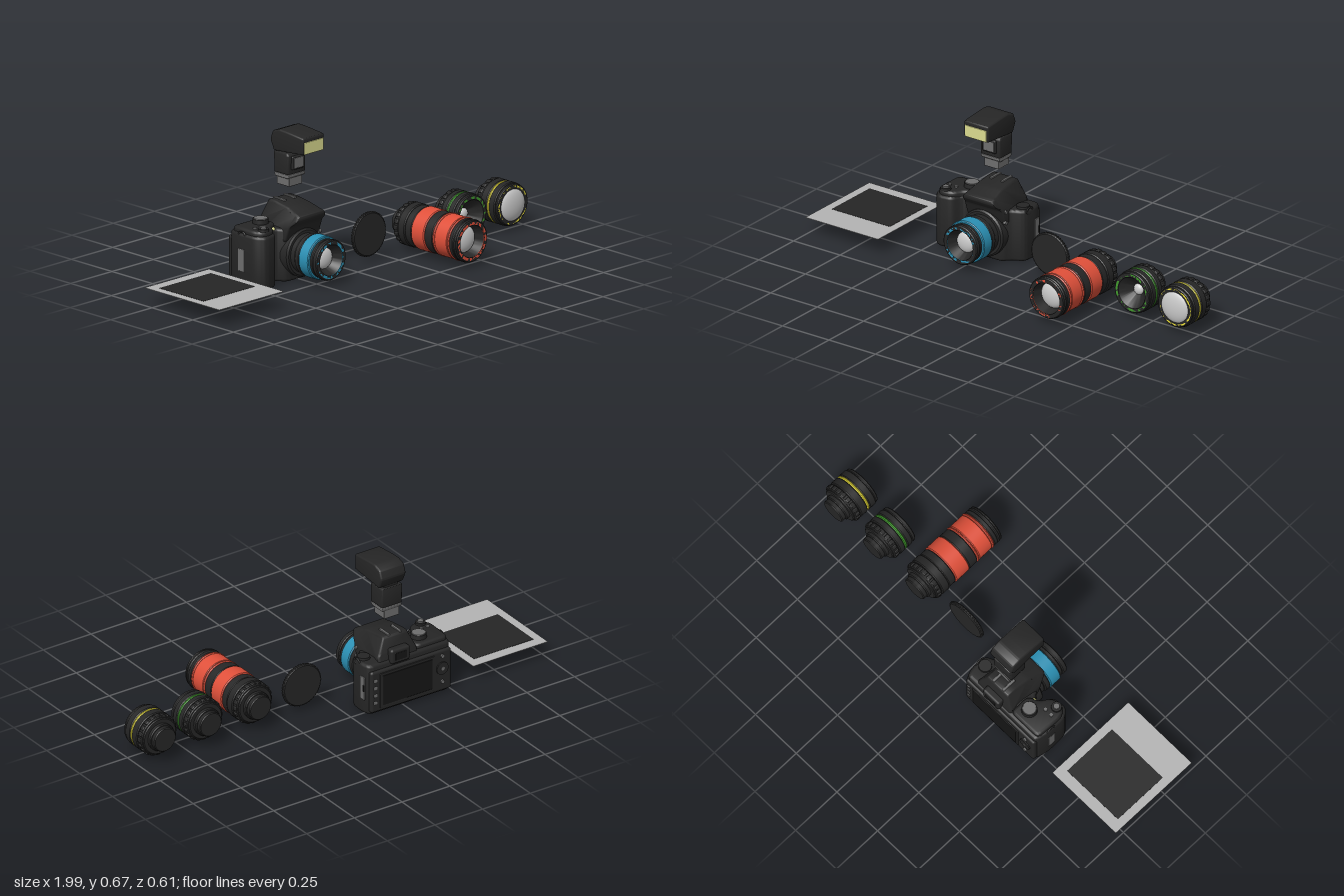
import * as THREE from 'three';
import { toCreasedNormals } from 'three/addons/utils/BufferGeometryUtils.js';
import { RoundedBoxGeometry } from 'three/addons/geometries/RoundedBoxGeometry.js';

const mat = (color) => new THREE.MeshStandardMaterial({ color });
const black = mat(0x262626), dark = mat(0x151515), grey = mat(0x6e6e6e), glass = mat(0xcccccc);
const blue = mat(0x2b90b4), red = mat(0xe0503a), green = mat(0x409a2c), yellow = mat(0xf0e438);
const cream = mat(0xdcdc90), paper = mat(0xb4b4b4);

function add(parent, name, geo, material, x = 0, y = 0, z = 0) {
  const m = new THREE.Mesh(geo, material);
  m.name = name;
  m.position.set(x, y, z);
  parent.add(m);
  return m;
}

function group(parent, name, x = 0, y = 0, z = 0) {
  const g = new THREE.Group();
  g.name = name;
  g.position.set(x, y, z);
  parent.add(g);
  return g;
}

const rbox = (w, h, d, r = 0.008) => new RoundedBoxGeometry(w, h, d, 2, Math.min(r, w / 2.1, h / 2.1, d / 2.1));

// Lathe around the z axis, profile given as [radius, z] from back to front
function turned(pts, seg = 48) {
  const g = new THREE.LatheGeometry(pts.map(([r, z]) => new THREE.Vector2(r, z)), seg);
  return toCreasedNormals(g.rotateX(Math.PI / 2), 0.5);
}

// Polygon with rounded corners
function roundedShape(pts, r) {
  const v = pts.map(([x, y]) => new THREE.Vector2(x, y)), n = v.length, s = new THREE.Shape();
  v.forEach((p, i) => {
    const a = v[(i + n - 1) % n], b = v[(i + 1) % n];
    const toward = (q) => p.clone().lerp(q, Math.min(0.45, r / p.distanceTo(q)));
    const s0 = toward(a), s1 = toward(b);
    if (i === 0) s.moveTo(s0.x, s0.y); else s.lineTo(s0.x, s0.y);
    s.quadraticCurveTo(p.x, p.y, s1.x, s1.y);
  });
  s.closePath();
  return s;
}

// Extruded solid with a bevel that stays inside the outline
function extruded(pts, depth, r, bevel) {
  return new THREE.ExtrudeGeometry(roundedShape(pts, r), {
    depth: depth - 2 * bevel, bevelEnabled: true, bevelThickness: bevel, bevelSize: bevel,
    bevelOffset: -bevel, bevelSegments: 3, curveSegments: 5,
  }).translate(0, 0, bevel);
}

// Side profile in [z, y], extruded across x and centred; halfScale(y) tapers the width
function sideProfile(pts, width, r, bevel, halfScale = () => 1) {
  const g = extruded(pts, width, r, bevel).translate(0, 0, -width / 2).rotateY(-Math.PI / 2);
  const p = g.attributes.position;
  for (let i = 0; i < p.count; i++) p.setX(i, p.getX(i) * halfScale(p.getY(i)));
  return toCreasedNormals(g, 0.6);
}

// Lens barrel: rings are [z0, z1, radius, material]; front is the recessed cone, trim and glass
function makeLens(parent, name, x, y, rings, f) {
  const lens = group(parent, name, x, y, 0);
  rings.forEach(([z0, z1, r, m]) => add(lens, 'barrelRing', turned([
    [0, z0], [r - 0.004, z0], [r, z0 + 0.004], [r, z1 - 0.004], [r - 0.004, z1], [r - 0.022, z1],
  ]), m));
  const { z, trim, rTrim, wTrim, rGlass, zGlass, hGlass } = f;
  add(lens, 'trimRing', turned([[rTrim, z - 0.003], [rTrim, z + 0.002], [rTrim - wTrim, z + 0.002], [rTrim - wTrim, z - 0.003]]), trim);
  add(lens, 'innerCone', turned([[rTrim - wTrim + 0.001, z], [rGlass, zGlass], [0, zGlass]]), black);
  const dome = new THREE.SphereGeometry(1, 40, 12, 0, Math.PI * 2, 0, Math.PI / 2).rotateX(Math.PI / 2);
  add(lens, 'glass', dome.scale(rGlass, rGlass, hGlass), glass, 0, 0, zGlass);
  return lens;
}

// Teeth around a ring
function teeth(parent, name, count, r, z, w, h, d) {
  for (let i = 0; i < count; i++) {
    const a = (i / count) * Math.PI * 2;
    add(parent, name, rbox(w, h, d, 0.004), black, Math.cos(a) * r, Math.sin(a) * r, z).rotation.z = a - Math.PI / 2;
  }
}

function makeCamera(root) {
  const cam = group(root, 'camera');
  // Body from its plan outline, in [x, -z]
  const plan = [[-0.495, 0.285], [-0.075, 0.285], [-0.06, 0.24], [-0.065, 0.165], [-0.12, 0.14], [-0.145, 0.105],
    [-0.325, 0.105], [-0.355, 0.15], [-0.385, 0.14], [-0.405, 0.09], [-0.475, 0.08], [-0.508, 0.12], [-0.51, 0.22]];
  add(cam, 'body', toCreasedNormals(extruded(plan, 0.24, 0.022, 0.014).rotateX(-Math.PI / 2), 0.6), black);
  // Raised top of the grip side
  const gripTop = [[-0.495, 0.27], [-0.33, 0.27], [-0.33, 0.17], [-0.38, 0.15], [-0.41, 0.1], [-0.47, 0.092], [-0.5, 0.13]];
  add(cam, 'gripTop', toCreasedNormals(extruded(gripTop, 0.05, 0.025, 0.012).rotateX(-Math.PI / 2), 0.6), black, 0, 0.21, 0);
  // Viewfinder hump, narrower toward the top
  const hump = [[-0.047, 0.302], [-0.05, 0.28], [-0.085, 0.25], [-0.11, 0.18], [-0.285, 0.18], [-0.272, 0.262],
    [-0.252, 0.341], [-0.21, 0.34], [-0.13, 0.328], [-0.08, 0.312]];
  add(cam, 'viewfinderHump', sideProfile(hump, 0.21, 0.012, 0.01,
    (y) => 1 - 0.38 * THREE.MathUtils.smoothstep(y, 0.23, 0.345)), black, -0.23);
  add(cam, 'eyepiece', rbox(0.1, 0.07, 0.04, 0.012), black, -0.23, 0.255, -0.278);
  add(cam, 'eyepieceWindow', rbox(0.06, 0.035, 0.004), dark, -0.23, 0.255, -0.298);
  for (const s of [-1, 1]) add(cam, 'shoeRail', rbox(0.012, 0.008, 0.07, 0.002), grey, -0.23 + s * 0.03, 0.341, -0.215);

  // Back plate, screen and buttons
  add(cam, 'backPlate', rbox(0.42, 0.2, 0.03, 0.012), black, -0.285, 0.112, -0.282);
  add(cam, 'screenFrame', rbox(0.285, 0.168, 0.006, 0.003), black, -0.262, 0.113, -0.298);
  add(cam, 'screen', rbox(0.26, 0.145, 0.006, 0.002), dark, -0.262, 0.113, -0.3);
  for (let i = 0; i < 4; i++) add(cam, 'menuButton', rbox(0.018, 0.016, 0.008, 0.004), grey, -0.097, 0.06 + i * 0.036, -0.296);
  add(cam, 'controlPad', turned([[0, -0.006], [0.03, -0.006], [0.03, 0.006], [0, 0.006]], 32), black, -0.445, 0.125, -0.297);
  for (const [x, y] of [[-0.445, 0.125], [-0.445, 0.06], [-0.445, 0.185]])
    add(cam, 'backButton', turned([[0, -0.008], [0.009, -0.008], [0.009, 0.008], [0, 0.008]], 20), grey, x, y, -0.297);

  // Side doors and side buttons
  add(cam, 'portDoor', rbox(0.008, 0.11, 0.034, 0.003), grey, -0.062, 0.125, -0.248);
  add(cam, 'doorLatch', rbox(0.01, 0.035, 0.01, 0.003), dark, -0.061, 0.128, -0.26);
  add(cam, 'cardDoor', rbox(0.006, 0.1, 0.04, 0.002), grey, -0.508, 0.12, -0.2);
  for (const y of [0.19, 0.241])
    add(cam, 'sideButton', new THREE.CylinderGeometry(0.008, 0.008, 0.014, 20).rotateZ(Math.PI / 2), grey, -0.127, y, -0.108);
  for (const [x, s] of [[-0.068, 1], [-0.502, -1]]) {
    const lug = add(cam, 'strapLug', new THREE.TorusGeometry(0.014, 0.004, 8, 20).rotateY(Math.PI / 2), black, x + s * 0.002, 0.232, -0.2);
    lug.scale.z = 1.4;
  }

  // Top controls
  const knob = (name, r, h, m, x, y, z) => add(cam, name, new THREE.CylinderGeometry(r * 0.95, r, h, 32), m, x, y, z);
  knob('modeDial', 0.036, 0.024, black, -0.382, 0.268, -0.21);
  knob('dialTop', 0.031, 0.004, grey, -0.382, 0.281, -0.21);
  knob('shutterCollar', 0.024, 0.012, black, -0.455, 0.263, -0.118);
  knob('shutterButton', 0.014, 0.012, grey, -0.455, 0.27, -0.118);
  knob('leftDial', 0.03, 0.014, black, -0.1, 0.243, -0.2);
  for (const x of [-0.43, -0.465]) knob('topButton', 0.008, 0.008, grey, x, 0.262, -0.16);
  add(cam, 'focusLamp', new THREE.SphereGeometry(0.012, 16, 12), cream, -0.36, 0.235, -0.16);

  // Lens mount and fitted lens
  add(cam, 'mountRing', turned([[0, -0.13], [0.108, -0.13], [0.108, -0.092], [0.1, -0.085], [0, -0.085]]), black, -0.235, 0.12);
  makeLens(cam, 'fittedLens', -0.235, 0.12, [
    [-0.09, -0.058, 0.088, black], [-0.058, -0.03, 0.094, black], [-0.03, 0.03, 0.097, blue],
    [0.03, 0.05, 0.088, black], [0.05, 0.075, 0.091, black],
  ], { z: 0.073, trim: blue, rTrim: 0.082, wTrim: 0.012, rGlass: 0.047, zGlass: 0.03, hGlass: 0.02 });
}

function makeFlash(root) {
  const flash = group(root, 'flashUnit', -0.232);
  const head = [[-0.036, 0.656], [-0.036, 0.581], [-0.218, 0.566], [-0.24, 0.614], [-0.224, 0.655], [-0.186, 0.668], [-0.14, 0.666]];
  add(flash, 'head', sideProfile(head, 0.13, 0.008, 0.008), black);
  add(flash, 'flashWindow', rbox(0.116, 0.054, 0.006, 0.002), cream, 0, 0.61, -0.036);
  add(flash, 'neck', rbox(0.075, 0.04, 0.066), black, 0, 0.568, -0.186);
  const body = [[-0.14, 0.466], [-0.137, 0.55], [-0.146, 0.563], [-0.23, 0.561], [-0.226, 0.466]];
  add(flash, 'body', sideProfile(body, 0.108, 0.006, 0.008), black);
  add(flash, 'sensorPanel', rbox(0.07, 0.062, 0.016, 0.006), black, 0, 0.518, -0.136);
  add(flash, 'sensorFace', rbox(0.056, 0.046, 0.004, 0.002), grey, 0, 0.518, -0.128);
  const foot = [[-0.137, 0.466], [-0.137, 0.456], [-0.147, 0.448], [-0.222, 0.448], [-0.227, 0.456], [-0.227, 0.466]];
  add(flash, 'footCollar', sideProfile(foot, 0.1, 0.003, 0.003), grey);
  add(flash, 'foot', rbox(0.078, 0.042, 0.077, 0.003), grey, 0, 0.431, -0.185);
}

export function createModel() {
  const root = new THREE.Group();
  root.name = 'cameraKit';

  // Instant photo lying flat
  const photo = group(root, 'photoPrint', -0.805, 0.08, 0);
  add(photo, 'paper', new THREE.BoxGeometry(0.39, 0.002, 0.46), paper, 0, 0, -0.066);
  add(photo, 'image', new THREE.BoxGeometry(0.312, 0.004, 0.272), black, 0, 0, -0.109);

  makeCamera(root);
  makeFlash(root);

  // Lens cap with a ribbed rim
  const cap = group(root, 'lensCap', 0.14, 0.125, -0.076);
  add(cap, 'disc', turned([[0, -0.009], [0.094, -0.009], [0.099, -0.005], [0.099, 0.005], [0.094, 0.009], [0, 0.009]]), black);
  teeth(cap, 'rib', 48, 0.0985, 0, 0.006, 0.005, 0.014);

  // Loose lenses sharing the same rear mount
  const rear = [[-0.14, -0.115, 0.057, black], [-0.118, -0.095, 0.064, black], [-0.1, -0.088, 0.086, black], [-0.092, -0.062, 0.092, black]];
  const tele = makeLens(root, 'telephotoLens', 0.397, 0.118, [
    ...rear, [-0.062, -0.02, 0.097, black], [-0.02, 0.02, 0.094, black], [0.02, 0.1, 0.097, red], [0.1, 0.15, 0.095, black],
    [0.15, 0.162, 0.097, red], [0.162, 0.24, 0.095, red], [0.24, 0.252, 0.097, red],
    [0.252, 0.275, 0.095, black], [0.275, 0.29, 0.096, black], [0.29, 0.3, 0.094, black],
  ], { z: 0.298, trim: red, rTrim: 0.086, wTrim: 0.012, rGlass: 0.06, zGlass: 0.25, hGlass: 0.025 });
  const macro = makeLens(root, 'macroLens', 0.657, 0.118, [
    ...rear, [-0.062, -0.032, 0.097, black], [-0.032, -0.018, 0.096, green], [-0.018, 0.012, 0.097, black], [0.012, 0.032, 0.094, black],
  ], { z: 0.03, trim: green, rTrim: 0.086, wTrim: 0.01, rGlass: 0.025, zGlass: -0.02, hGlass: 0.015 });
  const wide = makeLens(root, 'wideLens', 0.897, 0.118, [
    ...rear, [-0.062, -0.023, 0.097, black], [-0.023, -0.01, 0.096, yellow], [-0.01, 0.026, 0.097, black], [0.026, 0.042, 0.093, black],
  ], { z: 0.04, trim: yellow, rTrim: 0.086, wTrim: 0.007, rGlass: 0.075, zGlass: 0.034, hGlass: 0.025 });
  for (const lens of [tele, macro, wide]) teeth(lens, 'gripTooth', 20, 0.0925, -0.077, 0.02, 0.009, 0.022);
  return root;
}
